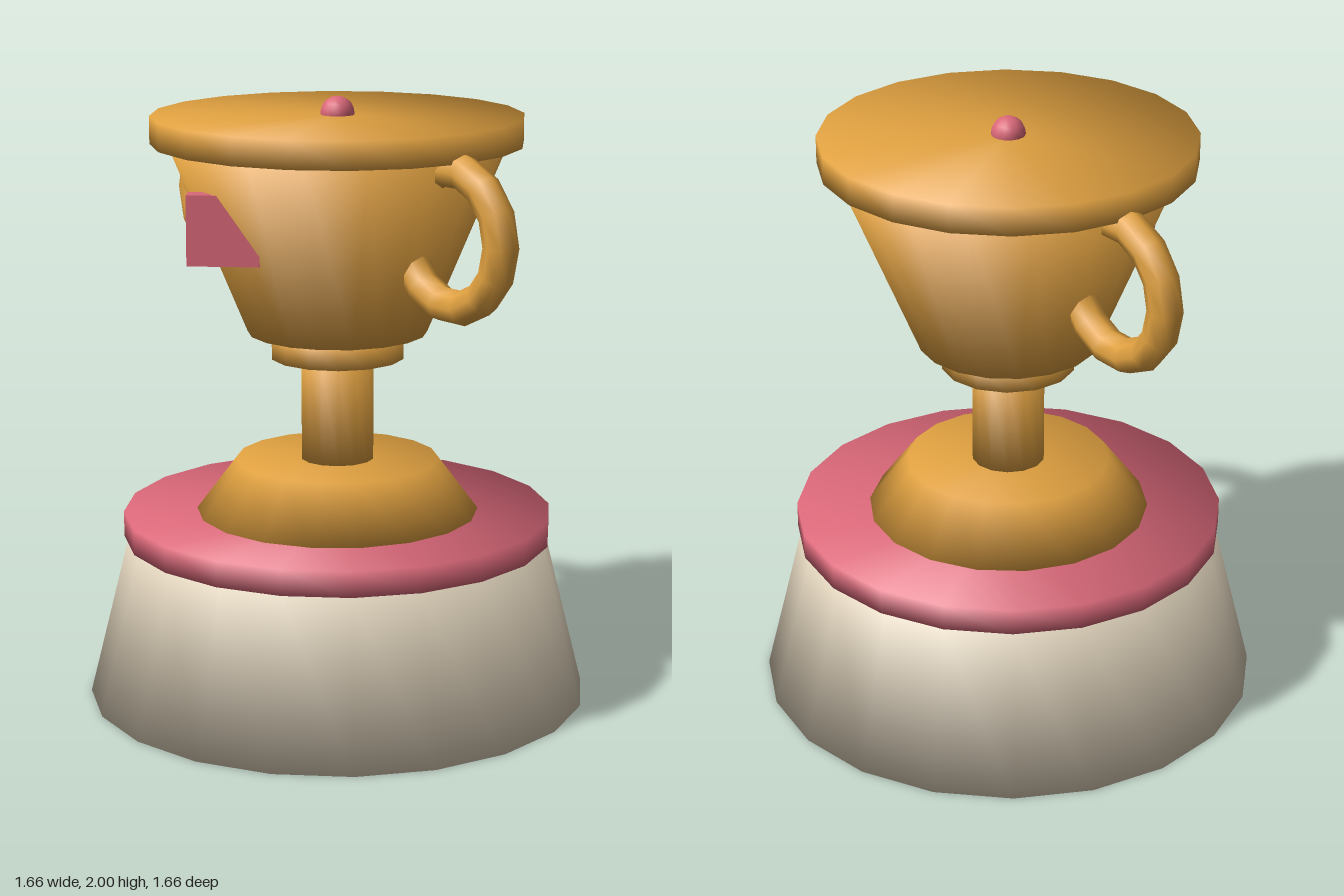
import * as THREE from 'three';

const paint = (name, color) => {
  const m = new THREE.MeshStandardMaterial({ color });
  m.name = name;
  return m;
};

// Capped round section whose normals run softly over its edges.
function turned(rBottom, rTop, yBottom, yTop, sides) {
  const profile = [[0, yBottom], [rBottom, yBottom], [rTop, yTop], [0, yTop]];
  const geo = new THREE.LatheGeometry(profile.map(p => new THREE.Vector2(...p)), sides);
  const side = new THREE.Vector2(yTop - yBottom, rBottom - rTop).normalize();
  const low = new THREE.Vector2(side.x, side.y - 1).normalize();
  const high = new THREE.Vector2(side.x, side.y + 1).normalize();
  const rows = [[0, low.y], [low.x, low.y], [high.x, high.y], [0, high.y]];
  for (let i = 0; i <= sides; i++) {
    const a = (i / sides) * Math.PI * 2;
    rows.forEach(([out, up], j) =>
      geo.attributes.normal.setXYZ(i * 4 + j, out * Math.sin(a), up, out * Math.cos(a)));
  }
  return geo;
}

export function createModel() {
  const gold = paint('gold', 0xdfa040);
  const pink = paint('pink', 0xda6879);
  const stone = paint('stone', 0xdccfb8);

  const cup = new THREE.Group();
  cup.name = 'trophyCup';
  const add = (name, geo, mat, x = 0, y = 0, z = 0) => {
    const mesh = new THREE.Mesh(geo, mat);
    mesh.name = name;
    mesh.position.set(x, y, z);
    cup.add(mesh);
    return mesh;
  };

  // Stacked round parts, from the ground up
  add('plinth', turned(0.83, 0.695, 0, 0.54, 20), stone);
  add('plinthBand', turned(0.71, 0.71, 0.54, 0.625, 20), pink);
  add('foot', turned(0.467, 0.335, 0.625, 0.8, 18), gold);
  add('stem', turned(0.121, 0.121, 0.8, 1.145, 14), gold);
  add('collar', turned(0.221, 0.221, 1.143, 1.22, 14), gold);
  add('bowl', turned(0.295, 0.553, 1.228, 1.85, 18), gold);
  add('rim', turned(0.605, 0.605, 1.85, 1.94, 20), gold);
  add('knob', new THREE.SphereGeometry(0.055, 14, 10), pink, 0, 1.945, 0);

  // Ring handles, partly sunk in the bowl
  for (const s of [1, -1]) {
    const handle = add(s > 0 ? 'leftHandle' : 'rightHandle',
      new THREE.TorusGeometry(0.217, 0.056, 8, 14), gold, s * 0.557, 1.612, 0);
    if (s < 0) handle.rotation.y = Math.PI;
  }

  // Turned block on the front of the bowl
  add('frontBlock', new THREE.BoxGeometry(0.23, 0.225, 0.07), pink, 0, 1.617, 0.463).rotation.y = 0.8;

  return cup;
}
